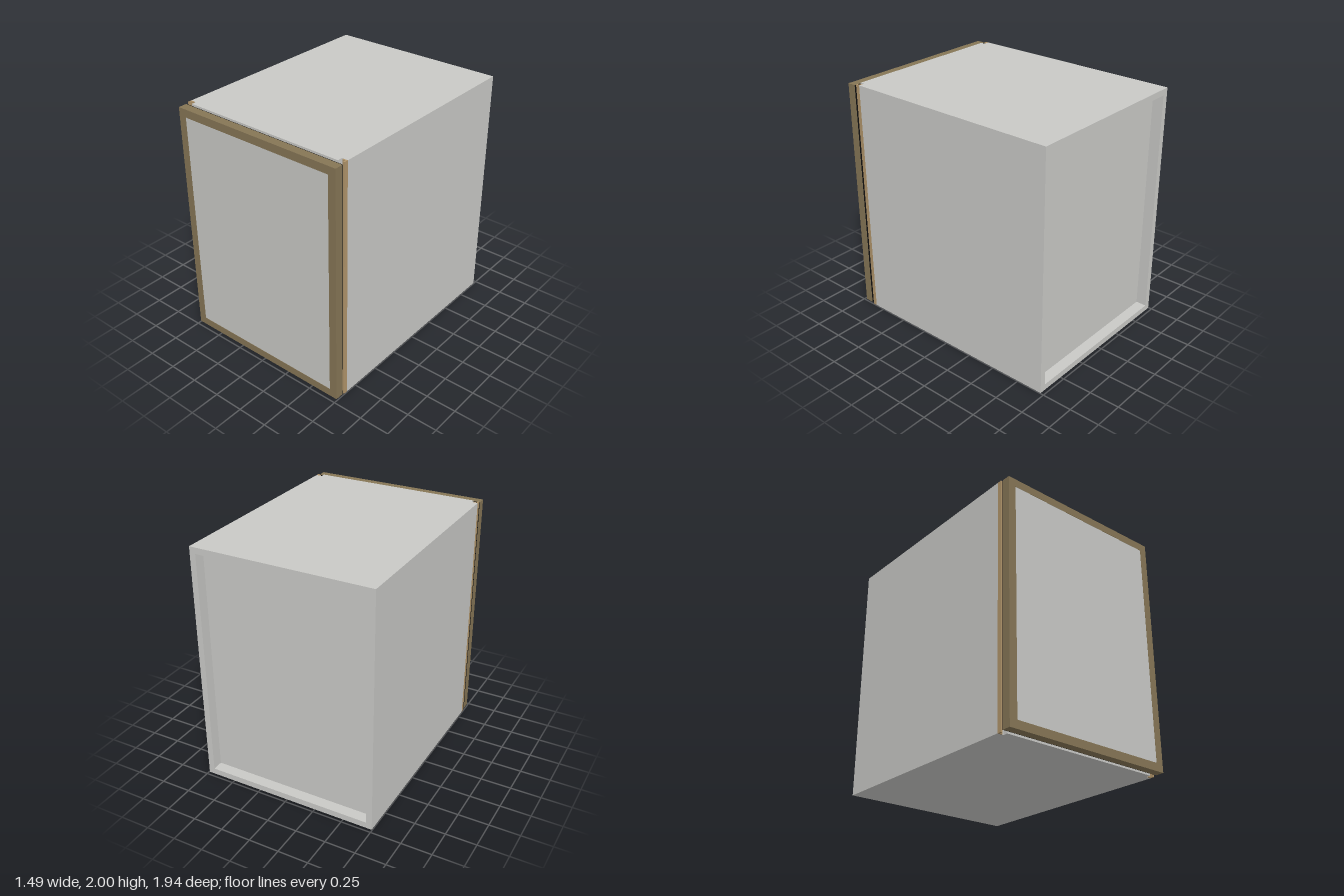
import * as THREE from 'three';

const mat = (name, color, side = THREE.FrontSide) => {
  const m = new THREE.MeshStandardMaterial({ color, side });
  m.name = name;
  return m;
};

export function createModel() {
  const grey = mat('light grey board', 0xc8c8c5);
  const brown = mat('brown frame', 0x857555);
  const tan = mat('tan edging', 0xb0946a);
  const black = mat('black gasket', 0x111111);

  const model = new THREE.Group();
  model.name = 'cabinet';

  // Box given by its limits on each axis
  const box = (name, material, [x0, x1], [y0, y1], [z0, z1], parent = model) => {
    const mesh = new THREE.Mesh(new THREE.BoxGeometry(x1 - x0, y1 - y0, z1 - z0), material);
    mesh.position.set((x0 + x1) / 2, (y0 + y1) / 2, (z0 + z1) / 2);
    mesh.name = name;
    parent.add(mesh);
  };

  // Rectangular ring centred on x = 0, y = 1
  const ring = (name, material, w, h, border, z0, z1, parent) => {
    const rect = (P, a, b) => new P([[-a, -b], [a, -b], [a, b], [-a, b]].map(p => new THREE.Vector2(...p)));
    const shape = rect(THREE.Shape, w / 2, h / 2);
    shape.holes.push(rect(THREE.Path, w / 2 - border, h / 2 - border));
    const mesh = new THREE.Mesh(new THREE.ExtrudeGeometry(shape, { depth: z1 - z0, bevelEnabled: false }), material);
    mesh.position.set(0, 1, z0);
    mesh.name = name;
    parent.add(mesh);
  };

  const W = 0.745, T = 0.05, BACK = -0.97;
  const inner = W - T;

  // Carcass: the shorter side panels leave notches at the front corners
  box('bottomPanel', grey, [-inner, inner], [0, T], [BACK, 0.885]);
  box('topPanel', grey, [-inner, inner], [2 - T, 2], [BACK, 0.885]);
  box('backPanel', grey, [-inner, inner], [T, 2 - T], [BACK + 0.09, BACK + 0.12]);
  for (const s of [-1, 1]) {
    const span = (a, b) => (s > 0 ? [a, b] : [-b, -a]);
    const side = s > 0 ? 'left' : 'right';
    box(side + 'SidePanel', grey, span(inner, W), [0, 2], [BACK, 0.845]);
    // Angled edging strip in the corner notch
    box(side + 'EdgeStripOuter', tan, span(W - 0.012, W), [0, 2], [0.845, 0.88]);
    box(side + 'EdgeStripInner', tan, span(W - 0.035, W - 0.012), [0, 2], [0.845, 0.857]);
  }

  // Door with its frame, infill panel, gasket and catch
  const door = new THREE.Group();
  door.name = 'door';
  model.add(door);
  ring('doorFrame', brown, 2 * W, 1.98, 0.065, 0.9, 0.97, door);
  box('doorPanel', grey, [-0.68, 0.68], [0.075, 1.925], [0.902, 0.968], door);
  ring('doorGasket', black, 2 * W - 0.004, 1.976, 0.04, 0.893, 0.9, door);
  box('doorCatch', black, [-0.66, -0.63], [0.957, 0.985], [0.878, 0.9], door);

  return model;
}
